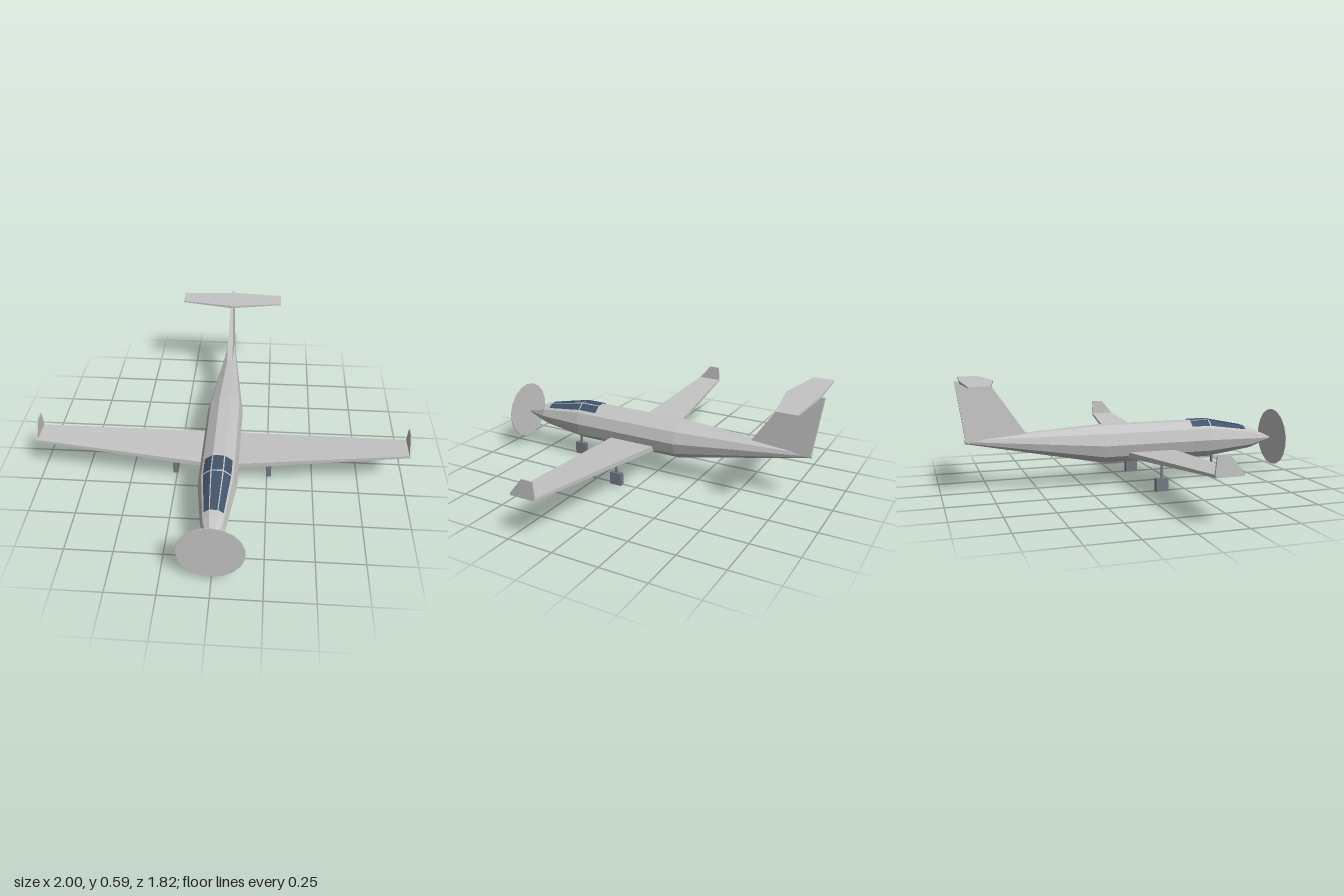
import * as THREE from 'three';

const grey = new THREE.MeshStandardMaterial({ color: 0xc4c4c4 });
grey.name = 'light grey paint';
const gearGrey = new THREE.MeshStandardMaterial({ color: 0x727a82 });
gearGrey.name = 'gear grey';
const glass = new THREE.MeshStandardMaterial({ color: 0x42546a, side: THREE.DoubleSide });
glass.name = 'dark glass';
for (const m of [grey, gearGrey, glass]) m.flatShading = true;

function facets(points) {
  const g = new THREE.BufferGeometry();
  g.setAttribute('position', new THREE.Float32BufferAttribute(points.flat(), 3));
  g.computeVertexNormals();
  return g;
}

// Faceted solid through a row of rings, closed at both ends
function loft(rings) {
  const tris = [];
  const n = rings[0].length;
  for (let j = 0; j < rings.length - 1; j++) {
    const a = rings[j], b = rings[j + 1];
    for (let i = 0; i < n; i++) {
      const k = (i + 1) % n;
      tris.push(a[i], a[k], b[k], a[i], b[k], b[i]);
    }
  }
  const first = rings[0], last = rings[rings.length - 1];
  for (let i = 1; i < n - 1; i++) {
    tris.push(first[0], first[i + 1], first[i], last[0], last[i], last[i + 1]);
  }
  return facets(tris);
}

// Rectangular rings across x (wings) and across y (upright fins)
const ribX = (x, y0, y1, z0, z1) => [[x, y0, z0], [x, y1, z0], [x, y1, z1], [x, y0, z1]];
const ribY = (x0, x1, yBack, yFront, zBack, zFront) =>
  [[x0, yBack, zBack], [x0, yFront, zFront], [x1, yFront, zFront], [x1, yBack, zBack]];

// Fuselage stations: z, centre y, half width, half height
const stations = [
  [-0.87, 0.273, 0.01, 0.012],
  [-0.14, 0.225, 0.1, 0.108],
  [0.48, 0.225, 0.1, 0.108],
  [0.75, 0.214, 0.062, 0.062],
  [0.89, 0.203, 0.005, 0.006],
];
const SIDES = 10;
const corner = ([z, cy, rx, ry], i) => {
  const a = (i * 2 * Math.PI) / SIDES;
  return [rx * Math.cos(a), cy + ry * Math.sin(a), z];
};

// Point on the fuselage skin at z, u corners round from the left side
function skin(z, u, lift) {
  let j = 0;
  while (j < stations.length - 2 && z > stations[j + 1][0]) j++;
  const t = (z - stations[j][0]) / (stations[j + 1][0] - stations[j][0]);
  const s = stations[j].map((v, k) => v + (stations[j + 1][k] - v) * t);
  const i = Math.floor(u), f = u - i;
  const p = corner(s, i), q = corner(s, i + 1);
  return [p[0] + (q[0] - p[0]) * f, p[1] + (q[1] - p[1]) * f + lift, z];
}

export function createModel() {
  const model = new THREE.Group();
  model.name = 'aircraft';
  const add = (name, geometry, material, x = 0, y = 0, z = 0) => {
    const mesh = new THREE.Mesh(geometry, material);
    mesh.name = name;
    mesh.position.set(x, y, z);
    model.add(mesh);
    return mesh;
  };

  // Fuselage
  add('fuselage', loft(stations.map((s) =>
    Array.from({ length: SIDES }, (_, i) => corner(s, i)))), grey);

  // Canopy panes laid on the top three facets, in front and rear rows
  const panes = [];
  for (const [z0, z1] of [[0.37, 0.478], [0.486, 0.71]]) {
    for (const [u0, u1] of [[1.2, 1.94], [2.06, 2.94], [3.06, 3.8]]) {
      const a = skin(z0, u0, 0.006), b = skin(z0, u1, 0.006);
      const c = skin(z1, u1, 0.006), d = skin(z1, u0, 0.006);
      panes.push(a, d, c, a, c, b);
    }
  }
  add('canopyPanes', facets(panes), glass);

  // Propeller disc
  add('propellerDisc', new THREE.CylinderGeometry(0.163, 0.163, 0.004, 18), grey, 0, 0.208, 0.908)
    .rotation.x = Math.PI / 2;

  // Wings, winglets and main gear, mirrored
  for (const s of [1, -1]) {
    const side = s > 0 ? 'left' : 'right';
    const mirrored = (rings) => {
      const out = rings.map((r) => r.map(([x, y, z]) => [x * s, y, z]));
      return loft(s > 0 ? out : out.reverse());
    };
    add(side + 'Wing', mirrored([
      ribX(0.05, 0.148, 0.178, -0.012, 0.26),
      ribX(1, 0.237, 0.25, 0.08, 0.215),
    ]), grey);
    add(side + 'Winglet', mirrored([
      ribY(0.991, 1, 0.245, 0.245, 0.076, 0.218),
      ribY(0.993, 1, 0.332, 0.332, 0.084, 0.146),
    ]), grey);
    add(side + 'GearStrut', new THREE.BoxGeometry(0.01, 0.11, 0.01), gearGrey, 0.26 * s, 0.115, 0.115);
    add(side + 'Wheel', new THREE.BoxGeometry(0.027, 0.069, 0.068), gearGrey, 0.26 * s, 0.0345, 0.115);
  }

  // Nose gear
  add('noseGearStrut', new THREE.BoxGeometry(0.01, 0.09, 0.01), gearGrey, 0, 0.105, 0.52);
  add('noseWheel', new THREE.BoxGeometry(0.027, 0.069, 0.068), gearGrey, 0, 0.0345, 0.52);

  // Tail fin and the tailplane on top of it
  add('tailFin', loft([
    ribY(-0.017, 0.017, 0.268, 0.3, -0.865, -0.552),
    ribY(-0.008, 0.008, 0.585, 0.577, -0.912, -0.742),
  ]), grey);
  add('tailplane', loft([
    ribX(-0.297, 0.578, 0.585, -0.873, -0.766),
    ribX(0, 0.573, 0.588, -0.888, -0.718),
    ribX(0.297, 0.578, 0.585, -0.873, -0.766),
  ]), grey);

  return model;
}
